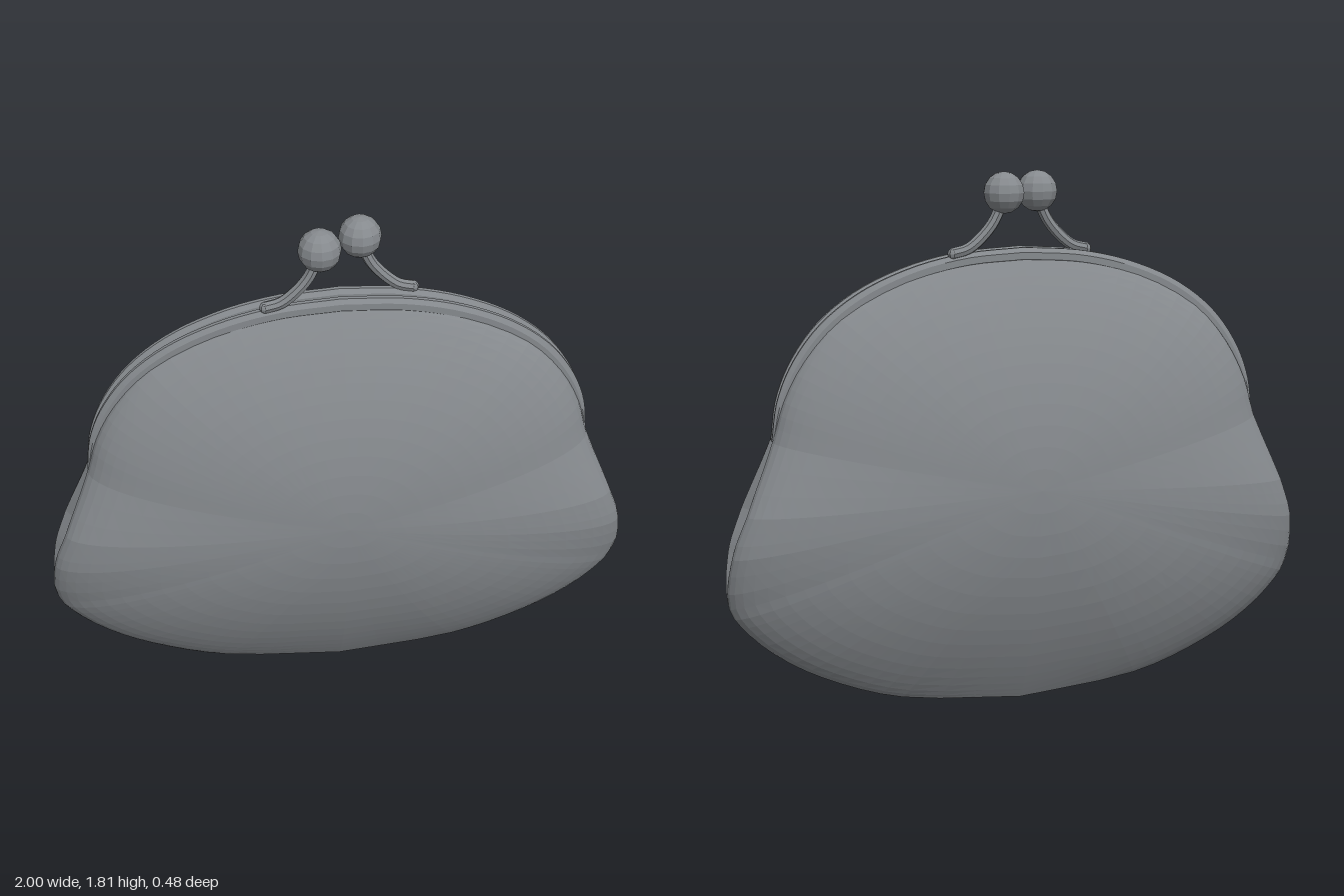
import * as THREE from 'three';

const V = (x, y, z = 0) => new THREE.Vector3(x, y, z);
const curve = (pts) => new THREE.CatmullRomCurve3(pts.map((p) => V(...p)), false, 'centripetal');

// Half outline of the leather panel, bottom centre to top centre
const panelEdge = curve([[0, 0.005], [0.42, 0.05], [0.63, 0.12], [0.8, 0.21], [0.93, 0.32], [0.995, 0.42],
  [0.985, 0.6], [0.935, 0.74], [0.84, 0.97], [0.8, 1.1], [0.73, 1.23], [0.61, 1.36], [0.4, 1.475], [0.2, 1.525], [0, 1.54]]);
// Half outlines of the metal frame, hinge to top centre
const frameOuter = curve([[0.84, 0.97], [0.82, 1.1], [0.77, 1.22], [0.68, 1.34], [0.55, 1.44], [0.38, 1.515], [0.2, 1.557], [0, 1.572]]);
const frameInner = curve([[0.825, 0.97], [0.785, 1.08], [0.73, 1.18], [0.64, 1.295], [0.52, 1.39], [0.36, 1.465], [0.19, 1.507], [0, 1.52]]);

// How far the panel rim stands off the middle plane at height y
const rimStops = [[0.42, 0], [0.6, 0.05], [0.74, 0.065], [0.97, 0.025], [1.54, 0.042]];
function rimDepth(y) {
  for (let i = 1; i < rimStops.length; i++) {
    const [y0, d0] = rimStops[i - 1], [y1, d1] = rimStops[i];
    if (y < y1) return y <= y0 ? d0 : d0 + (d1 - d0) * (y - y0) / (y1 - y0);
  }
  return 0.042;
}

// Skin a list of equally long cross-sections
function loft(rows, closed = false) {
  const n = rows[0].length, pos = [], idx = [];
  rows.forEach((row) => row.forEach((p) => pos.push(p.x, p.y, p.z)));
  for (let i = 0; i < rows.length - 1; i++) {
    for (let j = 0; j < (closed ? n : n - 1); j++) {
      const k = (j + 1) % n, a = i * n + j, b = i * n + k, c = a + n, d = b + n;
      idx.push(a, c, b, b, c, d);
    }
  }
  const g = new THREE.BufferGeometry();
  g.setAttribute('position', new THREE.Float32BufferAttribute(pos, 3));
  g.setIndex(idx);
  g.computeVertexNormals();
  return g;
}

// Mirror a half path across x = 0 into one full run
const fullRun = (half) => [...half, ...half.slice(0, -1).reverse().map((p) => V(-p.x, p.y, p.z))];

// Domed panel: rings growing from the belly to the rim
function panelGeometry() {
  const rim = fullRun(panelEdge.getPoints(42));
  const rows = [], rings = 16, belly = 0.24, cy = 0.8;
  for (let k = 0; k <= rings; k++) {
    const r = Math.sin((k / rings) * Math.PI / 2);
    rows.push(rim.map((p) => {
      const dy = p.y - cy, up = (dy * dy) / (p.x * p.x + dy * dy);
      const edge = rimDepth(p.y);
      const swell = Math.pow(Math.max(0, 1 - r * r), 0.5 + 0.5 * up);
      return V(p.x * r, cy + dy * r, edge + (belly - edge) * swell);
    }));
  }
  return loft(rows);
}

// Frame rail: rounded section swept over the arch, thinning to the hinges
function frameGeometry() {
  const n = 30, half = [];
  for (let i = 0; i <= n; i++) half.push([frameOuter.getPoint(i / n), frameInner.getPoint(i / n)]);
  const run = [...half, ...half.slice(0, -1).reverse().map((s) => s.map((p) => V(-p.x, p.y)))];
  const rows = run.map(([o, q]) => {
    const t = (o.y - 0.97) / 0.6, z = 0.012 + 0.018 * t, depth = 0.011 + 0.008 * t;
    return Array.from({ length: 8 }, (_, j) => {
      const a = ((j + 0.5) / 8) * Math.PI * 2;
      const s = THREE.MathUtils.clamp(Math.cos(a) * 1.08, -1, 1);
      const p = q.clone().lerp(o, 0.5 + 0.5 * s);
      p.z = z + Math.sin(a) * depth;
      return p;
    });
  });
  return loft(rows, true);
}

// Folded gusset closing one side below the hinge
function gussetGeometry() {
  const rows = panelEdge.getPoints(84).filter((p) => p.y > 0.4 && p.y < 1.0 && p.x > 0.5).map((p) => {
    const d = rimDepth(p.y);
    const fold = p.x - 0.9 * d;
    return [V(p.x, p.y, d), V(p.x - 0.35 * d, p.y, d * 0.45), V(fold, p.y, 0),
      V(p.x - 0.35 * d, p.y, -d * 0.45), V(p.x, p.y, -d)];
  });
  return loft(rows);
}

export function createModel() {
  const grey = new THREE.MeshStandardMaterial({ color: 0x868a8e, flatShading: true, side: THREE.DoubleSide });
  grey.name = 'slate grey';
  const model = new THREE.Group();
  model.name = 'coinPurse';

  const panel = panelGeometry(), frame = frameGeometry(), gusset = gussetGeometry();
  const armPath = curve([[-0.24, 1.557, 0.032], [-0.19, 1.57, 0.033], [-0.14, 1.61, 0.034], [-0.1, 1.66, 0.034], [-0.07, 1.73, 0.034]]);
  const arm = new THREE.TubeGeometry(armPath, 14, 0.019, 8);
  const foot = new THREE.SphereGeometry(0.019, 8, 6).translate(-0.238, 1.557, 0.032);
  const ball = new THREE.SphereGeometry(0.068, 12, 8).translate(-0.067, 1.75, 0.034);

  // Each half is the other turned about the upright axis
  ['front', 'back'].forEach((side, i) => {
    const half = new THREE.Group();
    half.name = side + 'Half';
    const parts = { Panel: panel, FrameRail: frame, SideGusset: gusset, ClaspArm: arm, ClaspArmFoot: foot, ClaspBall: ball };
    for (const [name, geometry] of Object.entries(parts)) {
      const mesh = new THREE.Mesh(geometry, grey);
      mesh.name = side + name;
      half.add(mesh);
    }
    half.rotation.y = i * Math.PI;
    model.add(half);
  });
  return model;
}
